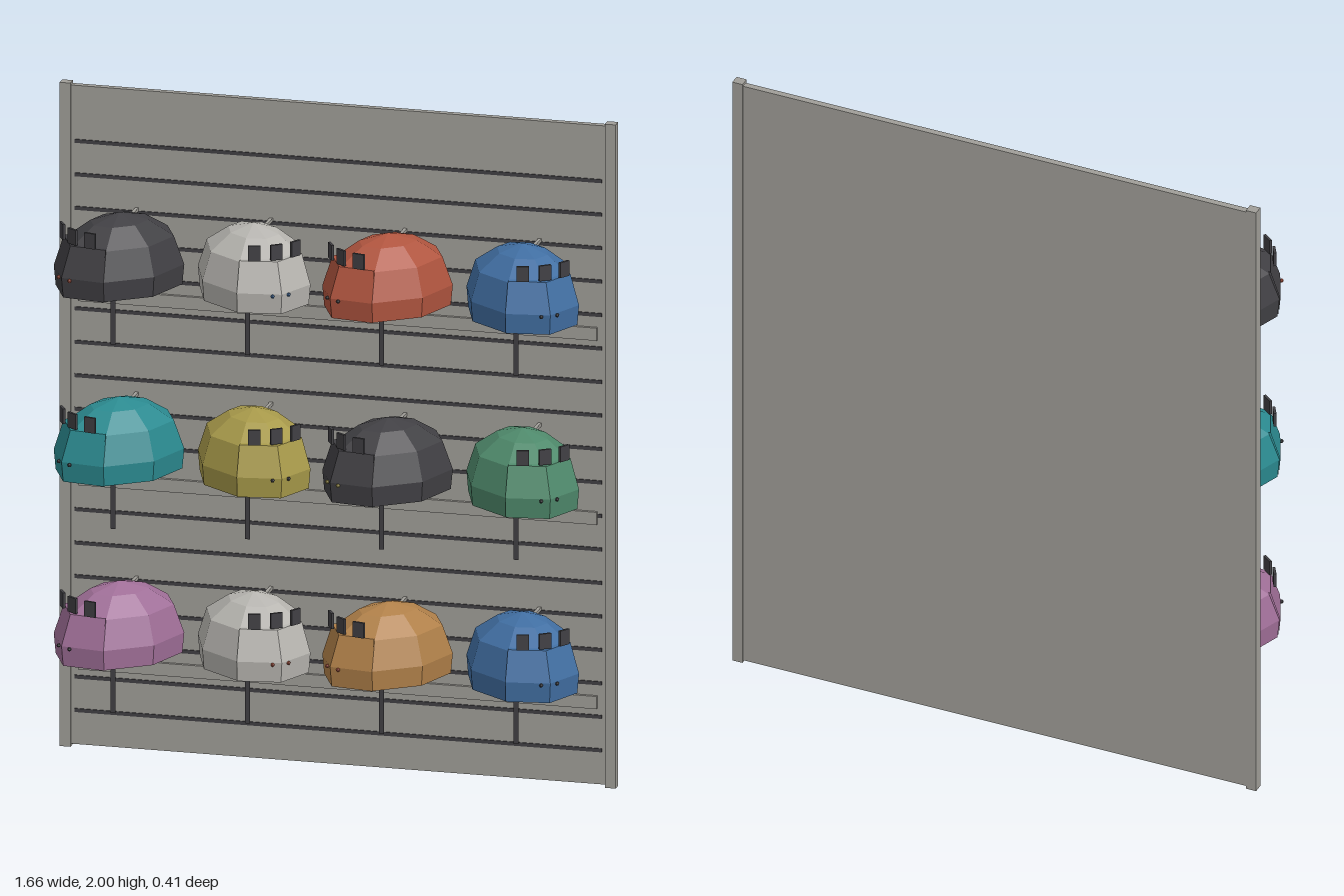
import * as THREE from 'three';

const COLORS = {
  panelGrey: 0xa09e98, charcoal: 0x414044, paleGrey: 0xb8b6b1, red: 0xb0553f, blue: 0x416fa3,
  teal: 0x2b8a90, yellow: 0xa89a4a, green: 0x4f8a6c, mauve: 0xa06f98, tan: 0xb08049,
};

export function createModel() {
  const model = new THREE.Group();
  model.name = 'helmetDisplayWall';
  const mats = {};
  for (const [name, color] of Object.entries(COLORS)) {
    mats[name] = new THREE.MeshStandardMaterial({ color, flatShading: true, side: THREE.DoubleSide });
    mats[name].name = name;
  }

  const add = (parent, name, geometry, mat, x = 0, y = 0, z = 0) => {
    const mesh = new THREE.Mesh(geometry, mats[mat]);
    mesh.name = name;
    mesh.position.set(x, y, z);
    parent.add(mesh);
    return mesh;
  };
  const box = (parent, name, mat, w, h, d, x, y, z) =>
    add(parent, name, new THREE.BoxGeometry(w, h, d), mat, x, y, z);

  // Faceted oval shell: rings are [height, scale], keep(sector, band) selects faces
  const shell = (rings, keep) => {
    const pos = [];
    const point = (i, [y, k]) => {
      const t = (i * Math.PI) / 4;
      return [0.16 * k * Math.sin(t), y, 0.21 * k * Math.cos(t)];
    };
    for (let b = 0; b < rings.length - 1; b++) {
      for (let i = 0; i < 8; i++) {
        if (!keep(i, b)) continue;
        const p = point(i, rings[b]), q = point(i + 1, rings[b]);
        const r = point(i + 1, rings[b + 1]), s = point(i, rings[b + 1]);
        pos.push(...p, ...q, ...r);
        if (rings[b + 1][1] > 0) pos.push(...p, ...r, ...s);
      }
    }
    const g = new THREE.BufferGeometry();
    g.setAttribute('position', new THREE.Float32BufferAttribute(pos, 3));
    g.computeVertexNormals();
    return g;
  };

  // Wall panel, side posts and slat grooves
  box(model, 'wallPanel', 'panelGrey', 1.6, 1.985, 0.02, 0, 1.0, -0.192);
  for (const side of [-1, 1]) {
    box(model, 'sidePost', 'panelGrey', 0.032, 2, 0.03, side * 0.812, 1, -0.19);
  }
  for (let i = 0; i < 18; i++) {
    box(model, 'slatGroove', 'charcoal', 1.57, 0.011, 0.004, 0, 0.11 + i * 0.1009, -0.181);
  }

  // Open helmet with a face plate, three upright windows and two small lamps
  const dome = [[0, 0.97], [0.06, 1], [0.145, 0.84], [0.195, 0.45], [0.218, 0]];
  const plate = [[0, 0.985], [0.06, 1.015], [0.15, 0.86], [0.152, 0.78]];
  const isBack = (i, b) => i >= 2 && i <= 4 && b < 3;
  const helmet = (color, lamp, yaw) => {
    const g = new THREE.Group();
    g.name = 'helmet';
    const twoTone = color === 'paleGrey';
    add(g, 'helmetShell', shell(dome, (i, b) => !(twoTone && isBack(i, b))), color);
    if (twoTone) add(g, 'helmetBack', shell(dome, isBack), 'charcoal');
    add(g, 'facePlate', shell(plate, (i) => i === 0 || i === 7), color);
    for (const n of [-1, 0, 1]) {
      const a = (n * Math.PI) / 8;
      const w = box(g, 'window', 'charcoal', 0.036, 0.046, 0.008,
        0.168 * Math.sin(a), 0.177, 0.172 * Math.cos(a));
      w.rotation.y = a;
    }
    for (const n of [-1, 1]) {
      add(g, 'lamp', new THREE.SphereGeometry(0.006, 6, 4), lamp, n * 0.025, 0.055, 0.204);
    }
    g.rotation.y = yaw;
    return g;
  };

  // Three rows of helmets on hooks, each above a shallow rail
  const rows = [
    [0.355, ['mauve', 'paleGrey', 'tan', 'blue'], ['charcoal', 'red', 'red', 'charcoal']],
    [0.91, ['teal', 'yellow', 'charcoal', 'green'], ['charcoal', 'charcoal', 'yellow', 'charcoal']],
    [1.465, ['charcoal', 'paleGrey', 'red', 'blue'], ['red', 'blue', 'charcoal', 'charcoal']],
  ];
  for (const [y, colors, lamps] of rows) {
    box(model, 'rail', 'panelGrey', 1.545, 0.038, 0.01, 0, y - 0.1, -0.177);
    colors.forEach((color, i) => {
      const x = -0.6 + 0.4 * i;
      const h = helmet(color, lamps[i], (i % 2 ? 1 : -1) * 0.645);
      h.position.set(x, y, 0.015);
      model.add(h);
      box(model, 'hookArm', 'panelGrey', 0.01, 0.01, 0.27, x, y + 0.168, -0.047);
      // Flat upright strip seen edge-on from the side
      add(model, 'hookStrip', new THREE.PlaneGeometry(0.015, 0.33), 'charcoal', x, y + 0.005, 0.089);
    });
  }
  return model;
}
